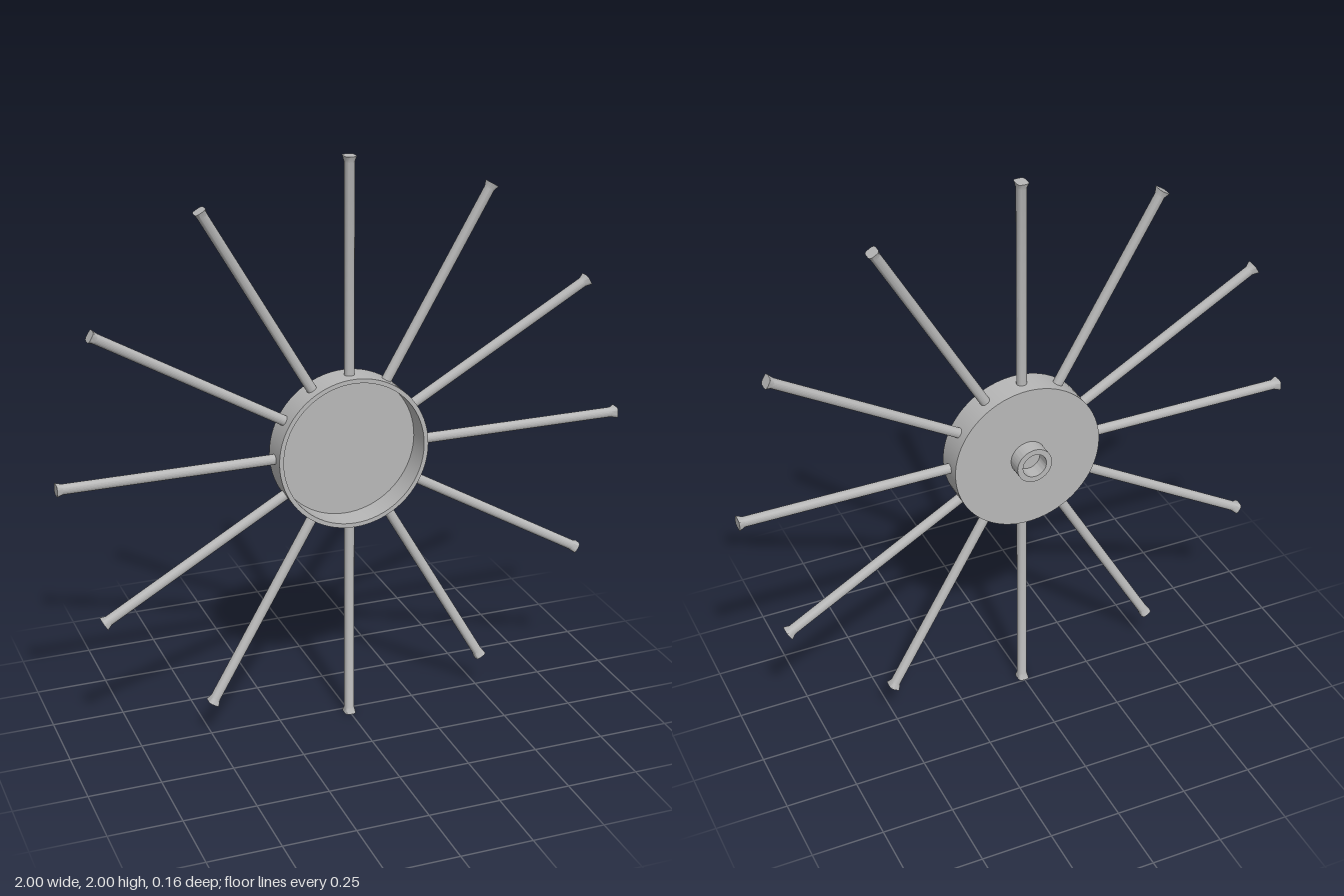
import * as THREE from 'three';
import { toCreasedNormals } from 'three/addons/utils/BufferGeometryUtils.js';

const SPOKES = 12;
const SPOKE_Z = 0.026;

// Straight rod along +y that flares into a rounded, slightly oblong tip
function spokeGeometry() {
  const inner = 0.256, neck = 0.98, tip = 1, r = 0.0175;
  const rod = new THREE.CylinderGeometry(r, r, 1, 24, 2);
  const p = rod.attributes.position;
  const heights = [inner, neck, tip];
  for (let i = 0; i < p.count; i++) {
    const level = Math.round((p.getY(i) + 0.5) * 2);
    p.setY(i, heights[level]);
    if (level === 2) {
      // squarish outline: push the round ring towards a rounded rectangle
      const x = p.getX(i) / r, z = p.getZ(i) / r;
      const k = Math.pow(x ** 4 + z ** 4, -0.25) || 0;
      const s = x * x + z * z > 0.1 ? k : 0;
      p.setX(i, x * s * 0.02);
      p.setZ(i, z * s * 0.025);
    }
  }
  return toCreasedNormals(rod, 0.5);
}

export function createModel() {
  const model = new THREE.Group();
  model.name = 'spokedWheel';
  const grey = new THREE.MeshStandardMaterial({ color: 0xb8b8b8 });
  grey.name = 'grey metal';

  // Hub: dish open to the front, with a hollow boss at the back
  const profile = [
    [0, -0.027], [0.043, -0.027], [0.043, -0.08], [0.063, -0.08], [0.063, -0.027],
    [0.265, -0.027], [0.265, 0.079], [0.25, 0.079], [0.25, -0.012], [0, -0.012],
  ].map(([r, z]) => new THREE.Vector2(r, z));
  const hubGeometry = toCreasedNormals(new THREE.LatheGeometry(profile, 72), 0.5);
  hubGeometry.rotateX(Math.PI / 2);
  const hub = new THREE.Mesh(hubGeometry, grey);
  hub.name = 'hub';
  hub.position.y = 1;
  model.add(hub);

  // Spokes radiating from the hub wall
  const geometry = spokeGeometry();
  for (let i = 0; i < SPOKES; i++) {
    const spoke = new THREE.Mesh(geometry, grey);
    spoke.name = 'spoke' + (i + 1);
    spoke.position.set(0, 1, SPOKE_Z);
    spoke.rotation.z = (i / SPOKES) * Math.PI * 2;
    model.add(spoke);
  }
  return model;
}
